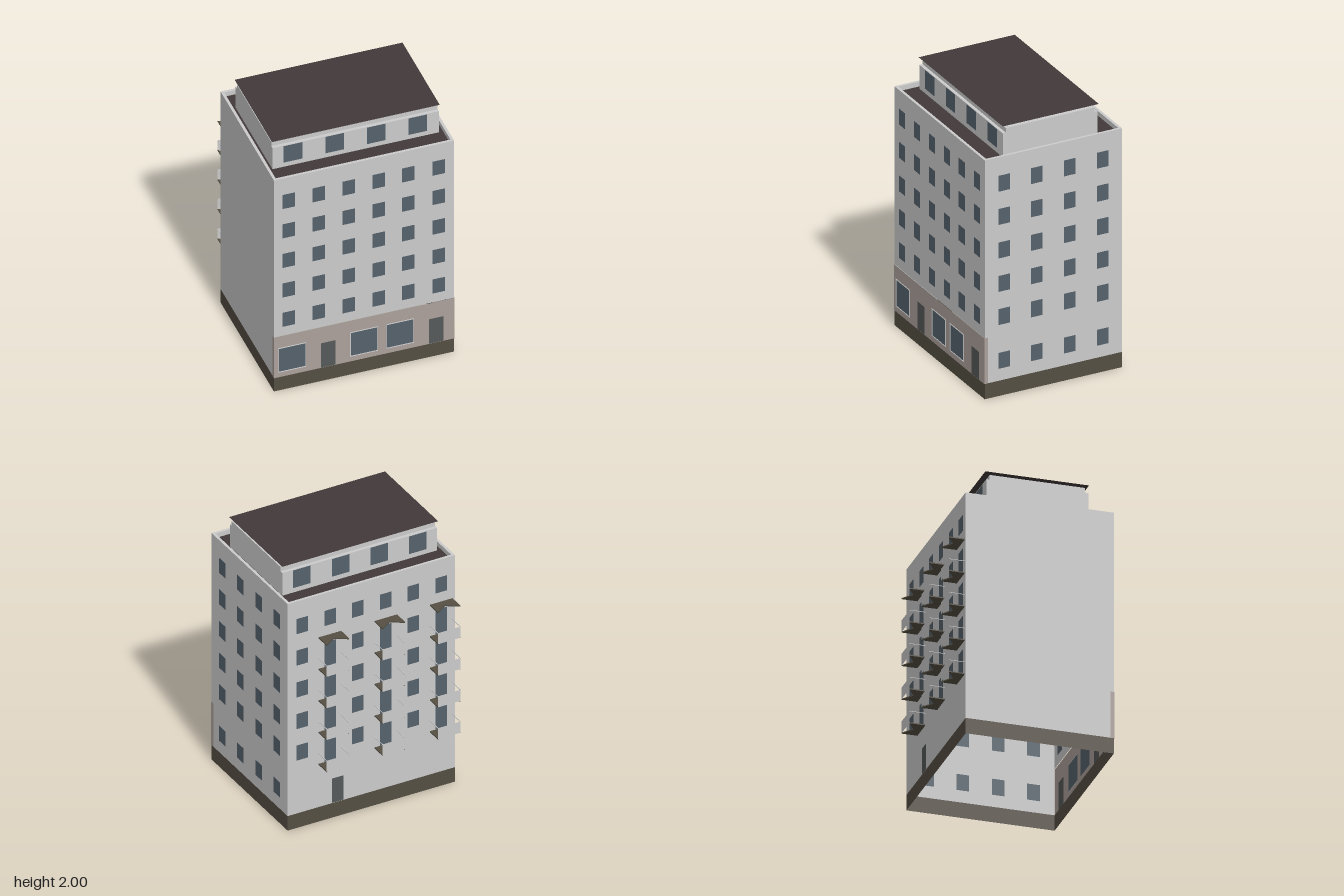
import * as THREE from 'three';

const mat = (color) => new THREE.MeshStandardMaterial({ color, side: THREE.DoubleSide });
const wallMat = mat(0xcccccc), glassMat = mat(0x55626c), doorMat = mat(0x565959);
const shopMat = mat(0xaca09b), baseMat = mat(0x554f43), roofMat = mat(0x423a3a);

// Main dimensions
const X = 0.65, FRONT = 0.58, BACK = -0.475, MID_Z = (FRONT + BACK) / 2, DEPTH = FRONT - BACK;
const BASE = 0.115, SHOP = 0.46, TOP = 1.8, TERRACE = 1.765;
const rows = [0.595, 0.845, 1.097, 1.35, 1.6];
const columns = [-0.542, -0.326, -0.11, 0.107, 0.32, 0.537];

function add(parent, name, geometry, material, x = 0, y = 0, z = 0) {
  const mesh = new THREE.Mesh(geometry, material);
  mesh.name = name;
  mesh.position.set(x, y, z);
  parent.add(mesh);
  return mesh;
}

function box(parent, name, material, x0, x1, y0, y1, z0, z1) {
  return add(parent, name, new THREE.BoxGeometry(x1 - x0, y1 - y0, z1 - z0), material,
    (x0 + x1) / 2, (y0 + y1) / 2, (z0 + z1) / 2);
}

function sheet(parent, name, material, x0, x1, z0, z1, y) {
  return add(parent, name, new THREE.PlaneGeometry(x1 - x0, z1 - z0).rotateX(-Math.PI / 2), material,
    (x0 + x1) / 2, y, (z0 + z1) / 2);
}

function rectPath(path, x0, x1, y0, y1) {
  path.moveTo(x0, y0);
  path.lineTo(x1, y0);
  path.lineTo(x1, y1);
  path.lineTo(x0, y1);
  path.closePath();
  return path;
}

const opening = (x, w, y0, y1, name = 'window', material = glassMat) => ({ x, w, y0, y1, name, material });

// Flat wall with cut openings, each filled by a pane
function wall(parent, name, material, x0, x1, y0, y1, openings = []) {
  const group = new THREE.Group();
  group.name = name;
  parent.add(group);
  const shape = rectPath(new THREE.Shape(), x0, x1, y0, y1);
  for (const o of openings) {
    shape.holes.push(rectPath(new THREE.Path(), o.x - o.w / 2, o.x + o.w / 2, o.y0, o.y1));
    add(group, o.name, new THREE.PlaneGeometry(o.w, o.y1 - o.y0), o.material, o.x, (o.y0 + o.y1) / 2, 0);
  }
  add(group, name + 'Surface', new THREE.ShapeGeometry(shape), material);
  return group;
}

function place(group, x, z, turn) {
  group.position.set(x, 0, z);
  group.rotation.y = turn;
}

function balcony(parent, x, y, railed) {
  const group = new THREE.Group();
  group.name = railed ? 'balcony' : 'balconyCanopy';
  group.position.set(x, y, BACK);
  parent.add(group);
  const w = 0.0875, d = 0.112;
  // Slab with a notched outer edge
  const s = new THREE.Shape();
  [[-w, 0], [w, 0], [w, d], [0, 0.055], [-w, d]].forEach(([a, b], i) => (i ? s.lineTo(a, b) : s.moveTo(a, b)));
  const slab = new THREE.ExtrudeGeometry(s, { depth: 0.008, bevelEnabled: false }).rotateX(-Math.PI / 2);
  add(group, 'slab', slab, baseMat, 0, -0.004, 0);
  if (!railed) return;
  // Parapet panel and thin side rails
  add(group, 'frontPanel', new THREE.PlaneGeometry(2 * w, 0.088), wallMat, 0, 0.044, -d);
  for (const side of [-1, 1]) {
    box(group, 'sideRail', wallMat, side * w - 0.002, side * w + 0.002, 0.084, 0.088, -d, 0);
  }
}

export function createModel() {
  const model = new THREE.Group();
  model.name = 'apartmentBuilding';
  const H = Math.PI / 2;
  const half = DEPTH / 2;

  // Plinth, open underneath
  for (const [w, x, z, turn] of [[X, 0, FRONT, 0], [X, 0, BACK, Math.PI], [half, X, MID_Z, H], [half, -X, MID_Z, -H]]) {
    place(wall(model, 'plinth', baseMat, -w, w, 0, BASE), x, z, turn);
  }

  // Front: upper storeys
  const frontWindows = rows.flatMap((y) => columns.map((x) => opening(x, 0.09, y - 0.06, y + 0.06)));
  place(wall(model, 'frontWall', wallMat, -X, X, SHOP, TOP, frontWindows), 0, FRONT, 0);

  // Front: shop storey with framed windows and doors
  const shops = [-0.52, -0.0025, 0.2575].map((x) => opening(x, 0.195, 0.16, 0.36, 'shopWindow'));
  const doors = [-0.26, 0.518].map((x) => opening(x, 0.106, BASE + 0.002, 0.325, 'frontDoor', doorMat));
  const shopWall = wall(model, 'shopFront', shopMat, -X, X, BASE, SHOP, [...shops, ...doors]);
  place(shopWall, 0, FRONT + 0.004, 0);
  for (const o of shops) {
    const outer = rectPath(new THREE.Shape(), o.x - 0.1, o.x + 0.1, 0.157, 0.363);
    outer.holes.push(rectPath(new THREE.Path(), o.x - 0.095, o.x + 0.095, 0.162, 0.358));
    add(shopWall, 'shopWindowFrame',
      new THREE.ExtrudeGeometry(outer, { depth: 0.004, bevelEnabled: false }), wallMat);
  }
  for (const side of [-1, 1]) {
    place(wall(model, 'shopFrontReturn', shopMat, -0.0145, 0.0145, BASE, SHOP),
      side * (X + 0.001), FRONT - 0.0105, side * H);
  }

  // Left side with windows, right side plain
  const sideWindows = [0.265, ...rows].flatMap((y) =>
    [0.43, 0.18, -0.073, -0.325].map((z) => opening(MID_Z - z, 0.09, y - 0.06, y + 0.06)));
  place(wall(model, 'leftWall', wallMat, -half, half, BASE, TOP, sideWindows), X, MID_Z, H);
  place(wall(model, 'rightWall', wallMat, -half, half, BASE, TOP), -X, MID_Z, -H);

  // Back: windows, balcony doors and an entrance
  const backOpenings = [opening(-0.26, 0.09, BASE + 0.002, 0.31, 'backDoor', doorMat)];
  columns.forEach((x, c) => rows.forEach((y, r) => {
    const hasBalcony = c % 2 === 0 && r < 4;
    backOpenings.push(opening(-x, 0.09, y - (hasBalcony ? 0.135 : 0.06), y + 0.06,
      hasBalcony ? 'balconyDoor' : 'window'));
  }));
  place(wall(model, 'backWall', wallMat, -X, X, BASE, TOP, backOpenings), 0, BACK, Math.PI);
  for (const x of [-0.542, -0.112, 0.322]) {
    [0.455, 0.708, 0.96, 1.21, 1.46].forEach((y, i) => balcony(model, x, y, i < 4));
  }

  // Terrace and its parapet
  sheet(model, 'terrace', roofMat, -X + 0.02, X - 0.02, BACK + 0.02, FRONT - 0.02, TERRACE);
  for (const [z0, z1] of [[BACK, BACK + 0.02], [FRONT - 0.02, FRONT]]) {
    box(model, 'parapet', wallMat, -X, X, TERRACE, TOP, z0, z1);
  }
  for (const [x0, x1] of [[-X, -X + 0.02], [X - 0.02, X]]) {
    box(model, 'parapet', wallMat, x0, x1, TERRACE, TOP, BACK + 0.02, FRONT - 0.02);
  }

  // Penthouse: window walls front and back, taller core between them
  const P = 0.6, PF = 0.415, PB = -0.312, step = 0.024;
  const penthouseWindows = [-0.452, -0.152, 0.148, 0.448].map((x) => opening(x, 0.135, 1.8, 1.94));
  place(wall(model, 'penthouseFront', wallMat, -P, P, TERRACE, 1.945, penthouseWindows), 0, PF, 0);
  place(wall(model, 'penthouseBack', wallMat, -P, P, TERRACE, 1.945,
    penthouseWindows.map((o) => ({ ...o, x: -o.x }))), 0, PB, Math.PI);
  const mid = (PF + PB) / 2, ph = (PF - PB) / 2;
  for (const side of [-1, 1]) {
    place(wall(model, 'penthouseSide', wallMat, -ph, ph, TERRACE, 1.945), side * P, mid, side * H);
  }
  sheet(model, 'penthouseLedge', wallMat, -P, P, PF - step, PF, 1.945);
  sheet(model, 'penthouseLedge', wallMat, -P, P, PB, PB + step, 1.945);
  box(model, 'penthouseTop', wallMat, -P, P, 1.945, 1.98, PB + step, PF - step);
  sheet(model, 'penthouseRoof', roofMat, -0.605, 0.605, -0.32, 0.418, 2);

  return model;
}
